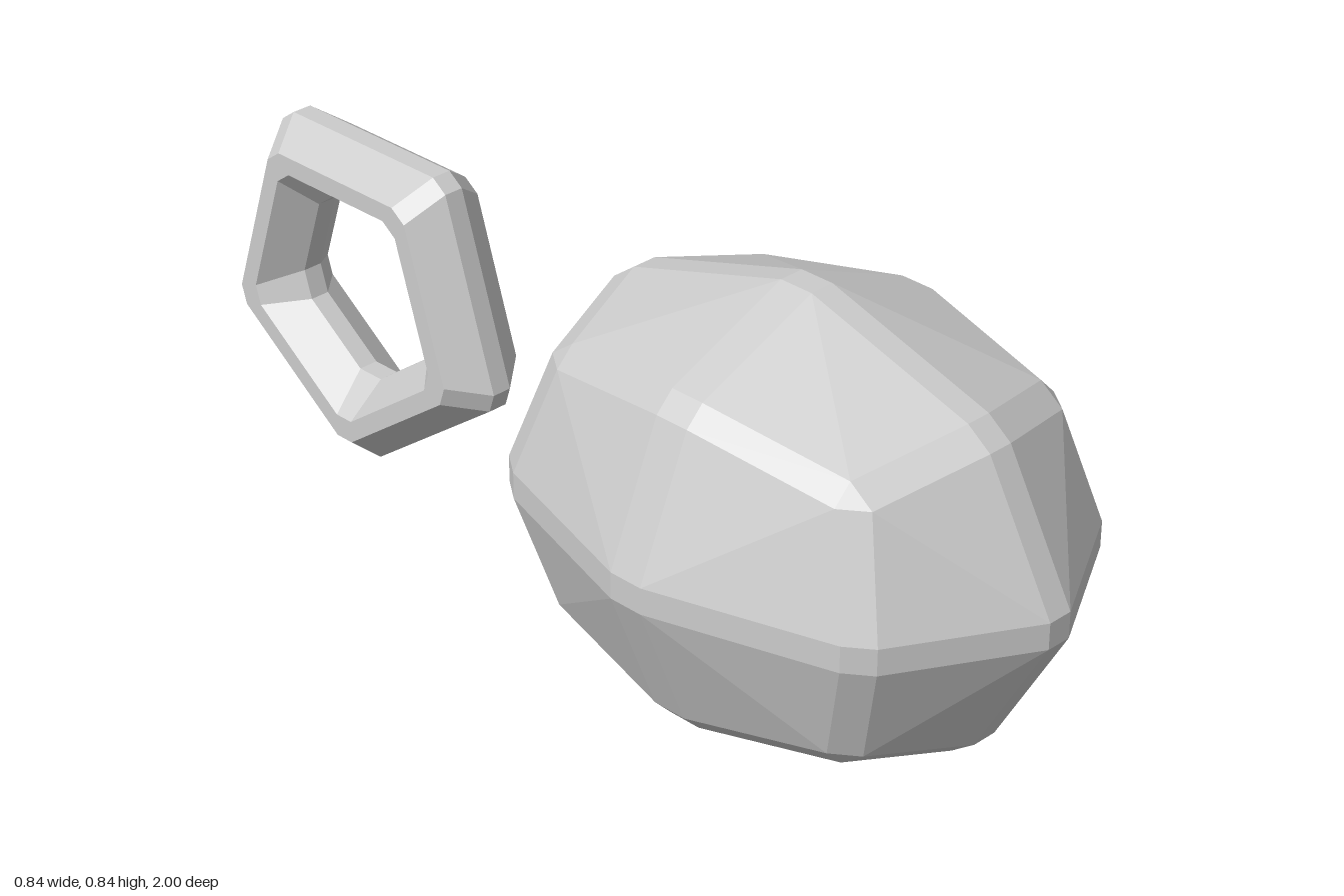
import * as THREE from 'three';
import { ConvexGeometry } from 'three/addons/geometries/ConvexGeometry.js';

const material = new THREE.MeshStandardMaterial({ color: 0xcccccc, flatShading: true });

// Faceted body: a rounded cube of 24 panels with chamfers between them
function bodyGeometry(halfX, halfY, halfZ) {
  const panelCorners = [[0.06, 0.06, 1], [0.06, 0.665, 0.75], [0.665, 0.06, 0.75], [0.555, 0.555, 0.64]];
  const points = [];
  for (const [a, b, c] of panelCorners) {
    for (const [x, y, z] of [[a, b, c], [c, a, b], [b, c, a]]) {
      for (const sx of [-1, 1]) for (const sy of [-1, 1]) for (const sz of [-1, 1]) {
        points.push(new THREE.Vector3(sx * x * halfX, sy * y * halfY, sz * z * halfZ));
      }
    }
  }
  return new ConvexGeometry(points);
}

// Five-sided ring standing in the yz plane, with clipped corners
function ringGeometry() {
  // Cross-section: [distance from centre to side, x, half width of the clipped corner]
  const half = [[0.299, 0.02, 0.02], [0.25, 0.09, 0.02], [0.214, 0.09, 0.02], [0.164, 0.02, 0.029]];
  const profile = [...half, ...half.slice().reverse().map(([r, x, w]) => [r, -x, w])];
  const loops = [];
  for (let k = 0; k < 5; k++) {
    const t = -Math.PI / 2 + k * Math.PI * 2 / 5;
    for (const side of [-1, 1]) {
      loops.push(profile.map(([apothem, x, w]) => {
        const r = apothem / Math.cos(Math.PI / 5) - w * Math.tan(Math.PI / 5);
        return [
          x,
          r * Math.sin(t) + side * w * Math.cos(t),
          r * Math.cos(t) - side * w * Math.sin(t),
        ];
      }));
    }
  }
  const positions = [];
  loops.forEach((loop, j) => {
    const next = loops[(j + 1) % loops.length];
    loop.forEach((a, i) => {
      const n = (i + 1) % loop.length;
      const b = loop[n], c = next[n], d = next[i];
      positions.push(...a, ...b, ...c, ...a, ...c, ...d);
    });
  });
  const geometry = new THREE.BufferGeometry();
  geometry.setAttribute('position', new THREE.Float32BufferAttribute(positions, 3));
  geometry.computeVertexNormals();
  return geometry;
}

export function createModel() {
  const model = new THREE.Group();

  const body = new THREE.Mesh(bodyGeometry(0.418, 0.42, 0.568), material);
  body.name = 'body';
  body.position.set(0, 0.42, 0.432);
  model.add(body);

  const ring = new THREE.Mesh(ringGeometry(), material);
  ring.name = 'ring';
  ring.position.set(0, 0.421, -0.656);
  model.add(ring);

  return model;
}
